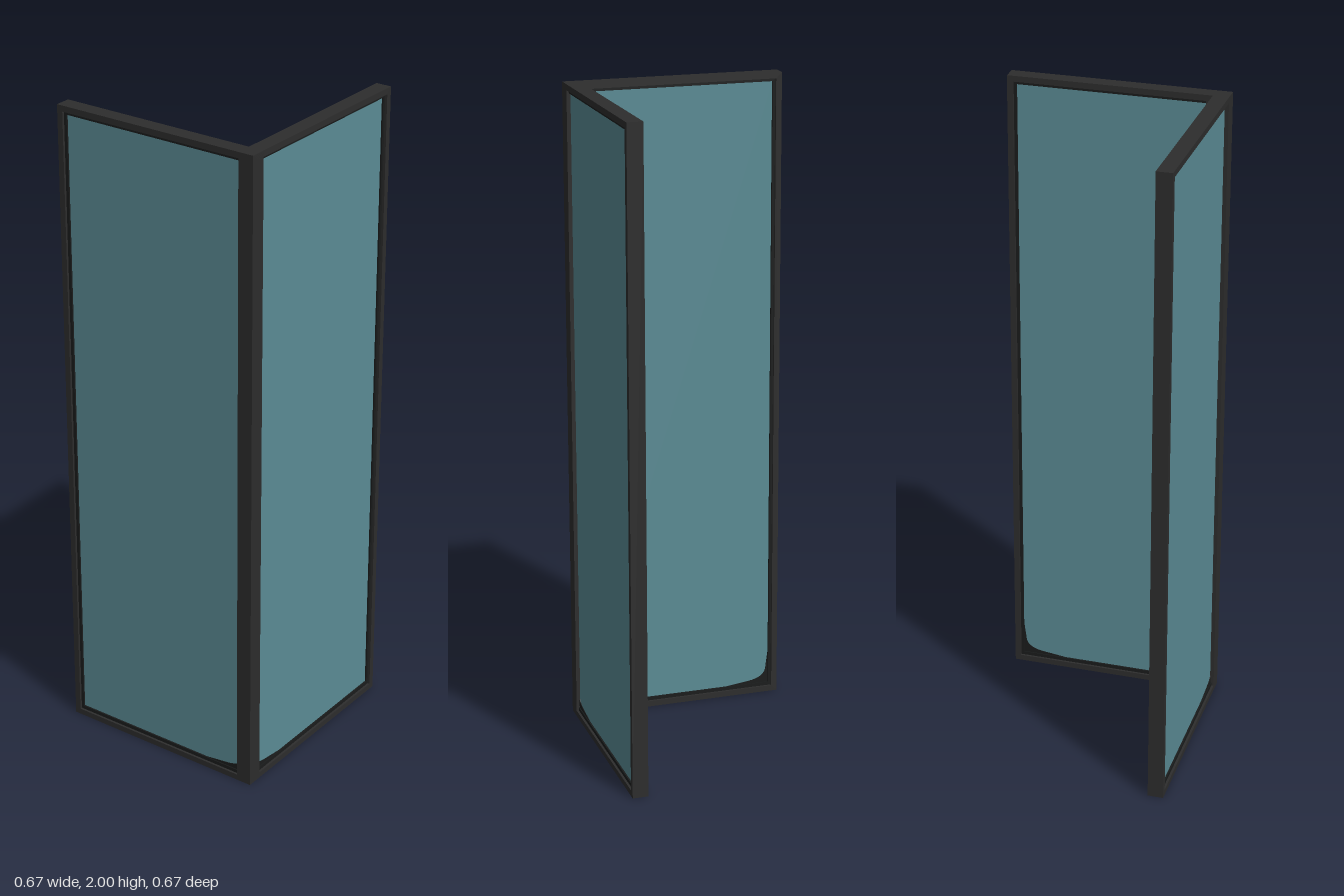
import * as THREE from 'three';

const H = 2, R = 0.333, T = 0.048; // height, half width, wall thickness

export function createModel() {
  const mat = (name, color) => {
    const m = new THREE.MeshStandardMaterial({ color });
    m.name = name;
    return m;
  };
  const frameMat = mat('charcoal frame', 0x2d2d2d);
  const sealMat = mat('black seal', 0x1a1c1c);
  const glassMat = mat('teal glass', 0x5b8c95);

  // Rectangular ring in the xy plane, centred on z = 0
  function ring(name, x0, x1, y0, y1, w, wBottom, depth, material) {
    const s = new THREE.Shape([[x0, y0], [x1, y0], [x1, y1], [x0, y1]].map(p => new THREE.Vector2(...p)));
    const a = x0 + w, b = x1 - w, c = y0 + wBottom, d = y1 - w;
    s.holes.push(new THREE.Path([[a, c], [a, d], [b, d], [b, c]].map(p => new THREE.Vector2(...p))));
    const g = new THREE.ExtrudeGeometry(s, { depth, bevelEnabled: false });
    g.translate(0, 0, -depth / 2);
    const m = new THREE.Mesh(g, material);
    m.name = name;
    return m;
  }

  // Curved patch of grime in the lower corner of a pane
  function grime(size, height) {
    const s = new THREE.Shape();
    s.moveTo(0, 0);
    s.lineTo(size * 2.6, 0);
    s.lineTo(size, 0.012);
    s.quadraticCurveTo(size * 0.15, 0.02, size * 0.12, height * 0.5);
    s.lineTo(0, height);
    const m = new THREE.Mesh(new THREE.ExtrudeGeometry(s, { depth: 0.002, bevelEnabled: false }), sealMat);
    m.name = 'cornerGrime';
    return m;
  }

  // One framed pane, outer face toward +z, corner post at x = -R
  function wall(name) {
    const g = new THREE.Group();
    g.name = name;
    g.add(ring('frame', -R, R, 0, H, 0.018, 0.018, T, frameMat));
    g.add(ring('seal', -R + 0.018, R - 0.018, 0.018, H - 0.018, 0.009, 0.011, 0.034, sealMat));
    const pane = new THREE.Mesh(new THREE.BoxGeometry(0.62, H - 0.04, 0.024), glassMat);
    pane.name = 'glass';
    pane.position.y = H / 2;
    g.add(pane);
    // Inner post beside the corner
    const post = new THREE.Mesh(new THREE.BoxGeometry(0.022, H - 0.036, 0.02), frameMat);
    post.name = 'innerPost';
    post.position.set(-R + T + 0.009, H / 2, -0.011);
    g.add(post);
    return g;
  }

  const model = new THREE.Group();
  model.name = 'cornerScreen';
  const front = wall('frontWall');
  front.position.z = R - T / 2;
  const side = wall('sideWall');
  side.rotation.y = -Math.PI / 2; // outer face toward -x
  side.position.x = -R + T / 2;
  // Turned wall has its local -x at -z, so move the inner post to the corner end
  side.getObjectByName('innerPost').position.x *= -1;

  // Grime on both faces of each wall
  for (const [w, outer] of [[front, -1], [side, 1]]) {
    for (const face of [1, -1]) {
      const g = grime(0.06, 0.11);
      const end = face > 0 ? outer : -outer;
      // Turning about y keeps the patch facing outward on the back
      g.rotation.y = face > 0 ? 0 : Math.PI;
      g.position.set(end * 0.306, 0.027, face * 0.012);
      if (end * face > 0) {
        // Patch grows toward the other side of the pane
        const p = g.geometry.attributes.position;
        for (let i = 0; i < p.count; i++) p.setX(i, -p.getX(i));
        const n = p.count;
        for (let i = 0; i < n; i += 3) {
          const t = [p.getX(i), p.getY(i), p.getZ(i)];
          p.setXYZ(i, p.getX(i + 1), p.getY(i + 1), p.getZ(i + 1));
          p.setXYZ(i + 1, ...t);
        }
        g.geometry.computeVertexNormals();
      }
      w.add(g);
    }
  }

  model.add(front, side);
  return model;
}
